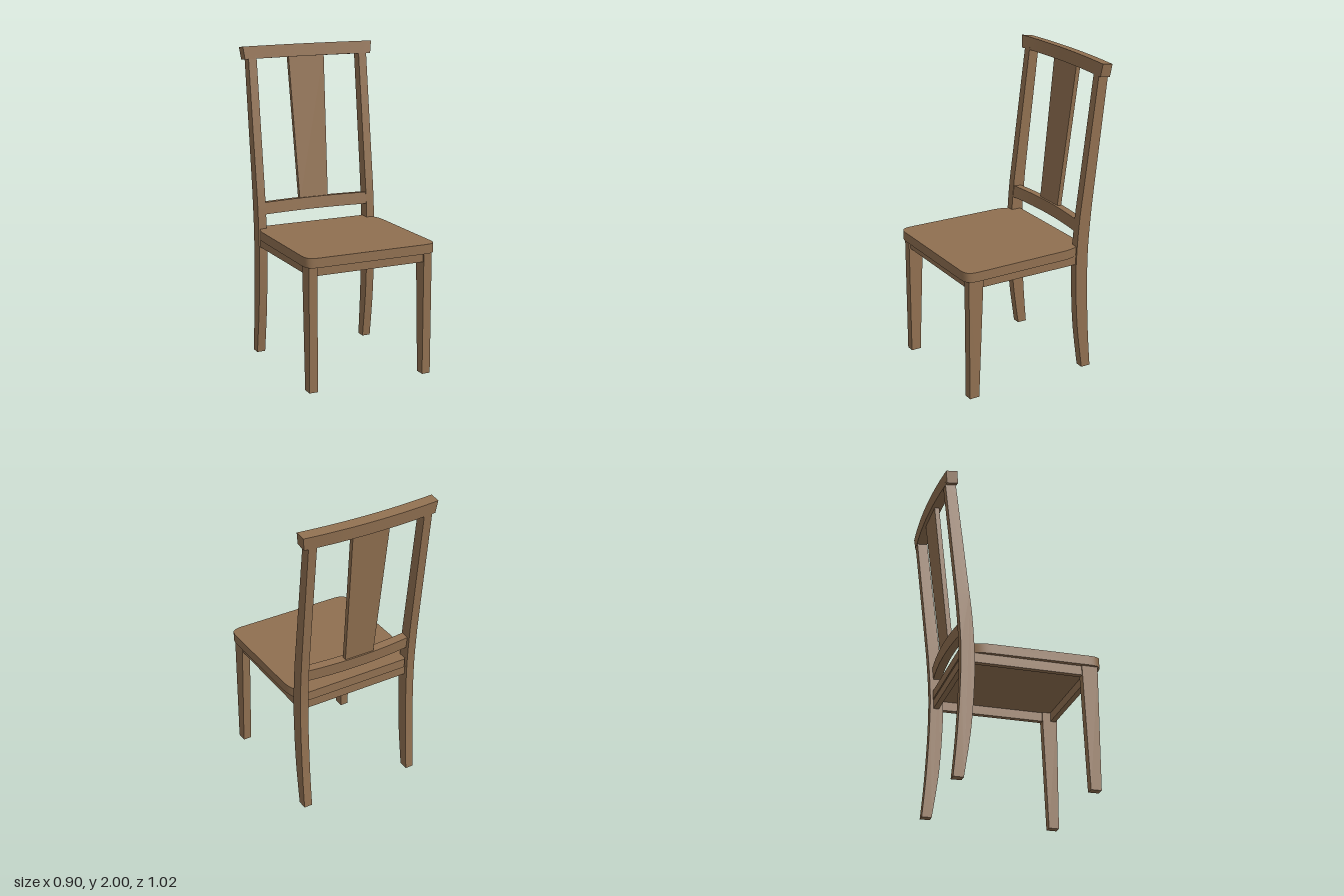
import * as THREE from 'three';
import { toCreasedNormals } from 'three/addons/utils/BufferGeometryUtils.js';

const wood = new THREE.MeshStandardMaterial({ color: 0x8f6f50 });
wood.name = 'brown wood';

// Side profile of [z, y] outline points, extruded across x around a centre
function sideProfile(shape, width, centreX) {
  const geo = new THREE.ExtrudeGeometry(shape, { depth: width, bevelEnabled: false, curveSegments: 20 });
  geo.rotateY(-Math.PI / 2);
  geo.translate(centreX + width / 2, 0, 0);
  return toCreasedNormals(geo, 0.5);
}

// Bar along x with a four-sided [z, y] section, bowed backwards in the middle
function bowedRail(section, half, bow, flare = 0) {
  const shape = new THREE.Shape(section.map(([z, y]) => new THREE.Vector2(z, y)));
  const geo = new THREE.ExtrudeGeometry(shape, { depth: 2 * half, steps: 20, bevelEnabled: false });
  geo.rotateY(-Math.PI / 2);
  geo.translate(half, 0, 0);
  const p = geo.attributes.position;
  const yTop = Math.max(...section.map((s) => s[1]));
  for (let i = 0; i < p.count; i++) {
    const t = p.getX(i) / half;
    p.setZ(i, p.getZ(i) - bow * (1 - t * t));
    p.setX(i, p.getX(i) * (1 - flare * (yTop - p.getY(i))));
  }
  return toCreasedNormals(geo, 0.5);
}

export function createModel() {
  const chair = new THREE.Group();
  chair.name = 'chair';
  const add = (name, geo) => {
    const mesh = new THREE.Mesh(geo, wood);
    mesh.name = name;
    chair.add(mesh);
    return mesh;
  };
  const box = (name, w, h, d, x, y, z) =>
    add(name, new THREE.BoxGeometry(w, h, d)).position.set(x, y, z);

  // Seat board with rounded front corners and sides drawn in at the back
  const seat = new THREE.Shape();
  seat.moveTo(-0.36, -0.51);
  seat.lineTo(0.36, -0.51);
  seat.bezierCurveTo(0.42, -0.505, 0.435, -0.49, 0.435, -0.42);
  seat.lineTo(0.428, 0.18);
  seat.bezierCurveTo(0.426, 0.25, 0.41, 0.28, 0.385, 0.315);
  seat.lineTo(0.35, 0.355);
  seat.lineTo(-0.35, 0.355);
  seat.lineTo(-0.385, 0.315);
  seat.bezierCurveTo(-0.41, 0.28, -0.426, 0.25, -0.428, 0.18);
  seat.lineTo(-0.435, -0.42);
  seat.bezierCurveTo(-0.435, -0.49, -0.42, -0.505, -0.36, -0.51);
  const seatGeo = new THREE.ExtrudeGeometry(seat, { depth: 0.06, bevelEnabled: false, curveSegments: 10 });
  seatGeo.rotateX(-Math.PI / 2);
  seatGeo.translate(0, 0.785, 0);
  add('seat', toCreasedNormals(seatGeo, 0.6));

  // Front leg: straight outside, tapering on the inner face
  const frontLeg = new THREE.Shape([[0.42, 0], [0.485, 0], [0.485, 0.786], [0.385, 0.786]]
    .map(([z, y]) => new THREE.Vector2(z, y)));

  // Back leg and post: one swept piece
  const toPoints = (list) => list.map(([z, y]) => new THREE.Vector2(z, y));
  const rear = toPoints([[-0.405, 0], [-0.385, 0.25], [-0.371, 0.55], [-0.37, 0.8],
    [-0.384, 1.02], [-0.408, 1.25], [-0.487, 1.93]]);
  const front = toPoints([[-0.421, 1.94], [-0.332, 1.25], [-0.303, 1.02], [-0.287, 0.8],
    [-0.285, 0.6], [-0.302, 0.3], [-0.342, 0]]);
  const backLeg = new THREE.Shape();
  backLeg.moveTo(-0.342, 0);
  backLeg.lineTo(-0.405, 0);
  backLeg.splineThru(rear.slice(1));
  backLeg.lineTo(-0.421, 1.94);
  backLeg.splineThru(front.slice(1));

  // Legs and side aprons, mirrored
  for (const [side, s] of [['left', 1], ['right', -1]]) {
    add(side + 'FrontLeg', sideProfile(frontLeg, 0.055, s * 0.3875));
    add(side + 'BackLeg', sideProfile(backLeg, 0.055, s * 0.3875));
    box(side + 'Apron', 0.035, 0.06, 0.74, s * 0.388, 0.756, 0.06);
  }
  box('frontApron', 0.74, 0.06, 0.035, 0, 0.756, 0.458);
  box('backApron', 0.74, 0.06, 0.035, 0, 0.756, -0.33);

  // Curved back rails
  add('topRail', bowedRail(
    [[-0.411, 1.92], [-0.42, 2.0], [-0.49, 1.991], [-0.481, 1.911]], 0.452, 0.025, 0.3));
  add('lowerRail', bowedRail(
    [[-0.297, 0.935], [-0.305, 1.012], [-0.36, 1.006], [-0.352, 0.929]], 0.365, 0.025));

  // Back splat: leaning panel, wider at the top
  const splat = new THREE.BoxGeometry(1, 1, 0.03);
  const p = splat.attributes.position;
  for (let i = 0; i < p.count; i++) {
    const t = p.getY(i) + 0.5;
    p.setXYZ(i, p.getX(i) * (0.2 + 0.05 * t), 0.99 + 0.95 * t, p.getZ(i) - 0.358 - 0.114 * t);
  }
  splat.computeVertexNormals();
  add('backSplat', splat);

  return chair;
}
